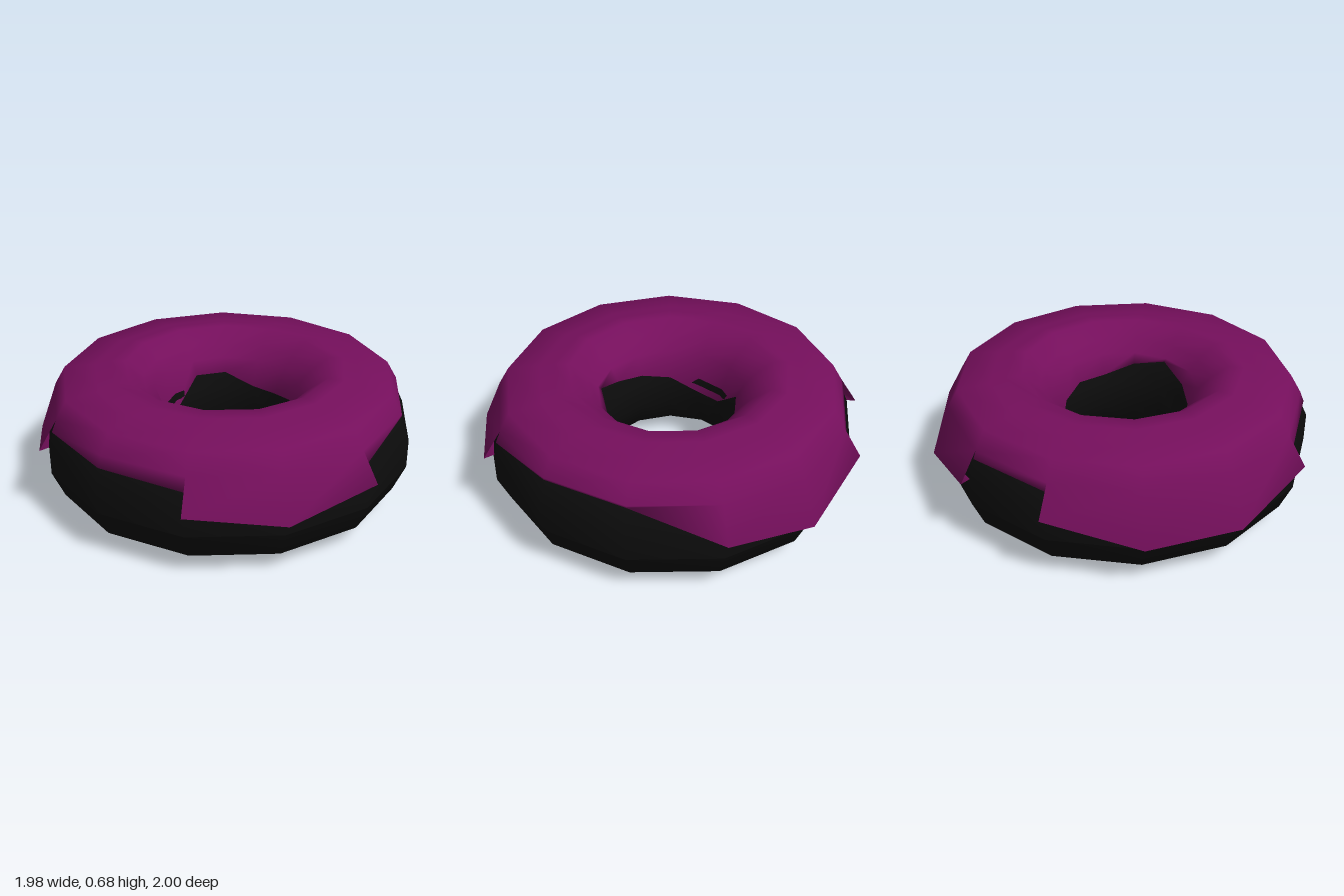
import * as THREE from 'three';
import { mergeVertices } from 'three/addons/utils/BufferGeometryUtils.js';

const SIDES = 13;

// Dough: faceted ring, profile listed counter-clockwise from the outer waist
function makeDough() {
  const profile = [
    [0.955, 0.25], [0.955, 0.4], [0.89, 0.535], [0.75, 0.62], [0.54, 0.62], [0.4, 0.54],
    [0.325, 0.4], [0.325, 0.25], [0.385, 0.11], [0.51, 0.02], [0.62, 0], [0.77, 0.022],
    [0.895, 0.11], [0.955, 0.25],
  ].map(([r, y]) => new THREE.Vector2(r, y));
  const mesh = new THREE.Mesh(
    new THREE.LatheGeometry(profile, SIDES, Math.PI / 2),
    new THREE.MeshStandardMaterial({ color: 0x0c0c0c })
  );
  mesh.name = 'dough';
  return mesh;
}

// Icing: one strip per side, each with its own start and end height of the dripping edge
function makeIcing() {
  const drips = [
    [0.365, 0.53], [0.53, 0.53], [0.53, 0.48], [0.4, 0.325], [0.325, 0.38], [0.475, 0.485],
    [0.485, 0.48], [0.39, 0.28], [0.28, 0.28], [0.28, 0.39], [0.5, 0.5], [0.39, 0.28], [0.28, 0.365],
  ];
  const innerEdge = [0.42, 0.45, 0.45, 0.5, 0.54, 0.48, 0.45, 0.42, 0.355, 0.355, 0.48, 0.48, 0.42];
  const rows = [[0.91, 0.54], [0.855, 0.635], [0.69, 0.656], [0.61, 0.676], [0.53, 0.68], [0.44, 0.61], [0.385, 0.55]];

  const crossSection = (outerY, innerY) => {
    // Low drips flare away from the dough, high edges lie on it
    const outerR = outerY < 0.45 ? 1.005 : 0.935 - (outerY - 0.48) * 0.5;
    const innerR = 0.312 + Math.max(0, innerY - 0.4) * 0.4;
    return [
      [outerR - 0.06, outerY + 0.01], // lip tucked back to the dough
      [outerR, outerY],
      ...rows,
      [innerR, innerY],
      [innerR + 0.05, innerY],
    ];
  };

  const positions = [];
  const indices = [];
  for (let s = 0; s < SIDES; s++) {
    const start = positions.length / 3;
    let count = 0;
    for (let e = 0; e < 2; e++) {
      const k = (s + e) % SIDES;
      const angle = (k / SIDES) * Math.PI * 2;
      const section = crossSection(drips[s][e], innerEdge[k]);
      count = section.length;
      for (const [r, y] of section) positions.push(r * Math.cos(angle), y, r * Math.sin(angle));
    }
    for (let i = 0; i < count - 1; i++) {
      const a = start + i, b = a + count;
      indices.push(a, a + 1, b, b, a + 1, b + 1);
    }
  }
  let geometry = new THREE.BufferGeometry();
  geometry.setAttribute('position', new THREE.Float32BufferAttribute(positions, 3));
  geometry.setIndex(indices);
  geometry = mergeVertices(geometry, 1e-4);
  geometry.computeVertexNormals();

  const mesh = new THREE.Mesh(
    geometry,
    new THREE.MeshStandardMaterial({ color: 0x750f5c, side: THREE.DoubleSide })
  );
  mesh.name = 'icing';
  return mesh;
}

export function createModel() {
  const donut = new THREE.Group();
  donut.name = 'donut';
  donut.add(makeDough(), makeIcing());
  return donut;
}
